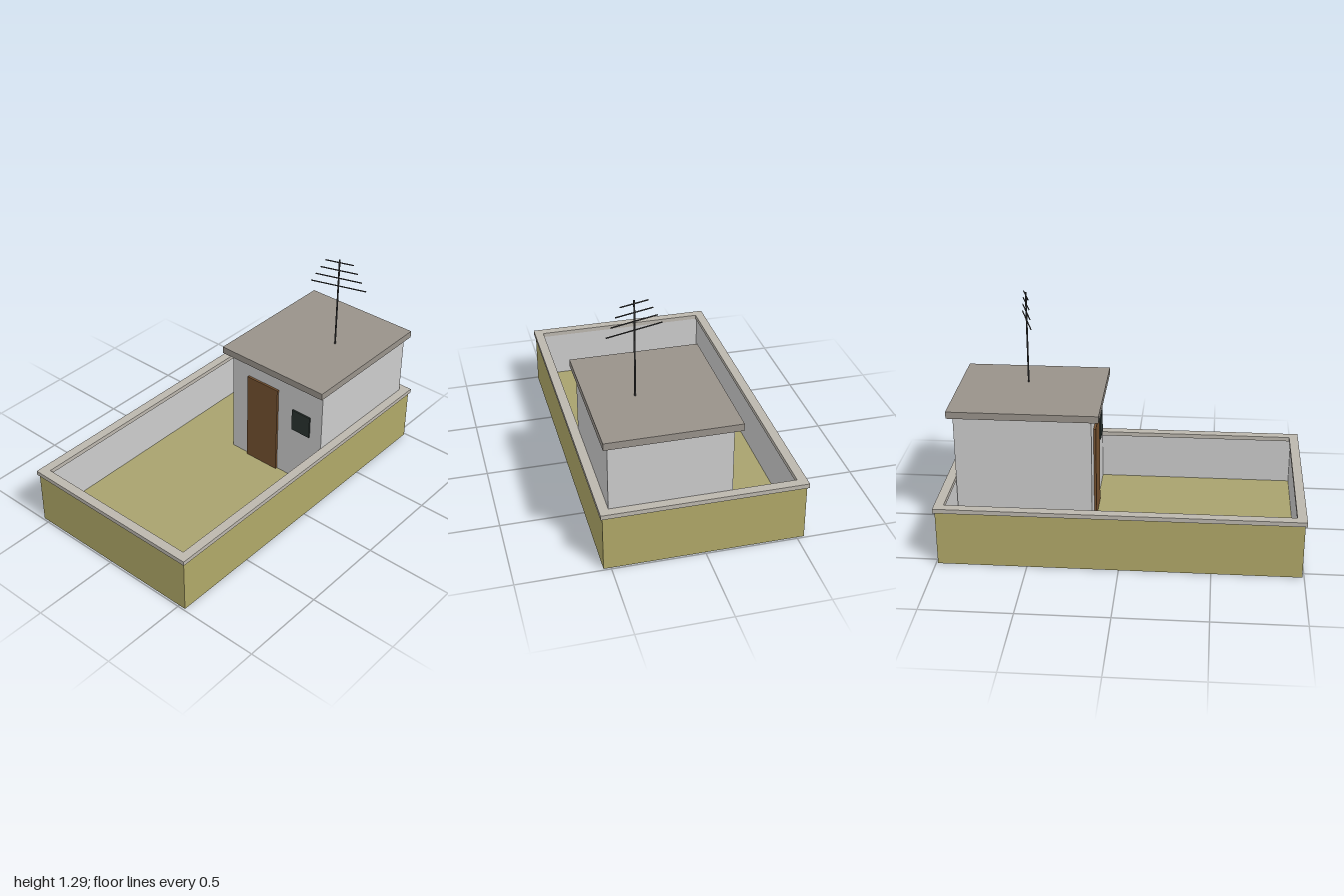
import * as THREE from 'three';

const mat = (color) => new THREE.MeshStandardMaterial({ color });

export function createModel() {
  const model = new THREE.Group();
  const plaster = mat(0xcccccc);
  const ochre = mat(0xb0a868);
  const floorMat = mat(0xa8a26e);
  const coping = mat(0xbcb7ae);
  const concrete = mat(0x98928a);
  const wood = mat(0x74502f);
  const glass = mat(0x29322f);
  const metal = mat(0x3c3c3c);

  // Box given by its min and max corners
  function box(name, material, [x0, y0, z0], [x1, y1, z1]) {
    const mesh = new THREE.Mesh(new THREE.BoxGeometry(x1 - x0, y1 - y0, z1 - z0), material);
    mesh.position.set((x0 + x1) / 2, (y0 + y1) / 2, (z0 + z1) / 2);
    mesh.name = name;
    model.add(mesh);
    return mesh;
  }

  // Rectangular frame lying flat, with outer half sizes and a band width
  function ring(name, material, hx, hz, band, y0, y1) {
    const shape = new THREE.Shape([
      new THREE.Vector2(-hx, -hz), new THREE.Vector2(hx, -hz),
      new THREE.Vector2(hx, hz), new THREE.Vector2(-hx, hz),
    ]);
    const ix = hx - band, iz = hz - band;
    shape.holes.push(new THREE.Path([
      new THREE.Vector2(-ix, -iz), new THREE.Vector2(-ix, iz),
      new THREE.Vector2(ix, iz), new THREE.Vector2(ix, -iz),
    ]));
    const geometry = new THREE.ExtrudeGeometry(shape, { depth: y1 - y0, bevelEnabled: false });
    geometry.rotateX(-Math.PI / 2);
    const mesh = new THREE.Mesh(geometry, material);
    mesh.position.y = y0;
    mesh.name = name;
    model.add(mesh);
  }

  // Sunken terrace: slab, floor, parapet with a plastered inside, coping
  box('baseSlab', concrete, [-0.525, 0, -0.975], [0.525, 0.03, 0.975]);
  box('terraceFloor', floorMat, [-0.52, 0.03, -0.97], [0.52, 0.043, 0.97]);
  ring('parapetOuterWall', ochre, 0.54, 0.99, 0.02, 0, 0.315);
  ring('parapetInnerWall', plaster, 0.52, 0.97, 0.013, 0.03, 0.315);
  ring('parapetCoping', coping, 0.55, 1, 0.052, 0.315, 0.34);

  // Stair house
  box('houseWalls', plaster, [-0.15, 0.04, -0.95], [0.5, 0.71, -0.18]);
  box('houseRoof', concrete, [-0.19, 0.71, -0.98], [0.525, 0.75, -0.135]);
  box('door', wood, [-0.03, 0.043, -0.19], [0.19, 0.6, -0.167]);
  box('window', glass, [0.295, 0.382, -0.19], [0.42, 0.517, -0.171]);

  // Antenna: mast with four crossbars getting shorter upward
  const antenna = new THREE.Group();
  antenna.name = 'antenna';
  antenna.position.set(0.27, 0, -0.585);
  antenna.rotation.y = 0.3;
  const mast = new THREE.Mesh(new THREE.CylinderGeometry(0.005, 0.005, 0.545, 8), metal);
  mast.position.y = 1.0225;
  mast.name = 'mast';
  antenna.add(mast);
  for (let i = 0; i < 4; i++) {
    const bar = new THREE.Mesh(new THREE.BoxGeometry(0.325 - i * 0.054, 0.005, 0.005), metal);
    bar.position.y = 1.13 + i * 0.049;
    bar.name = 'crossbar';
    antenna.add(bar);
  }
  model.add(antenna);

  return model;
}
